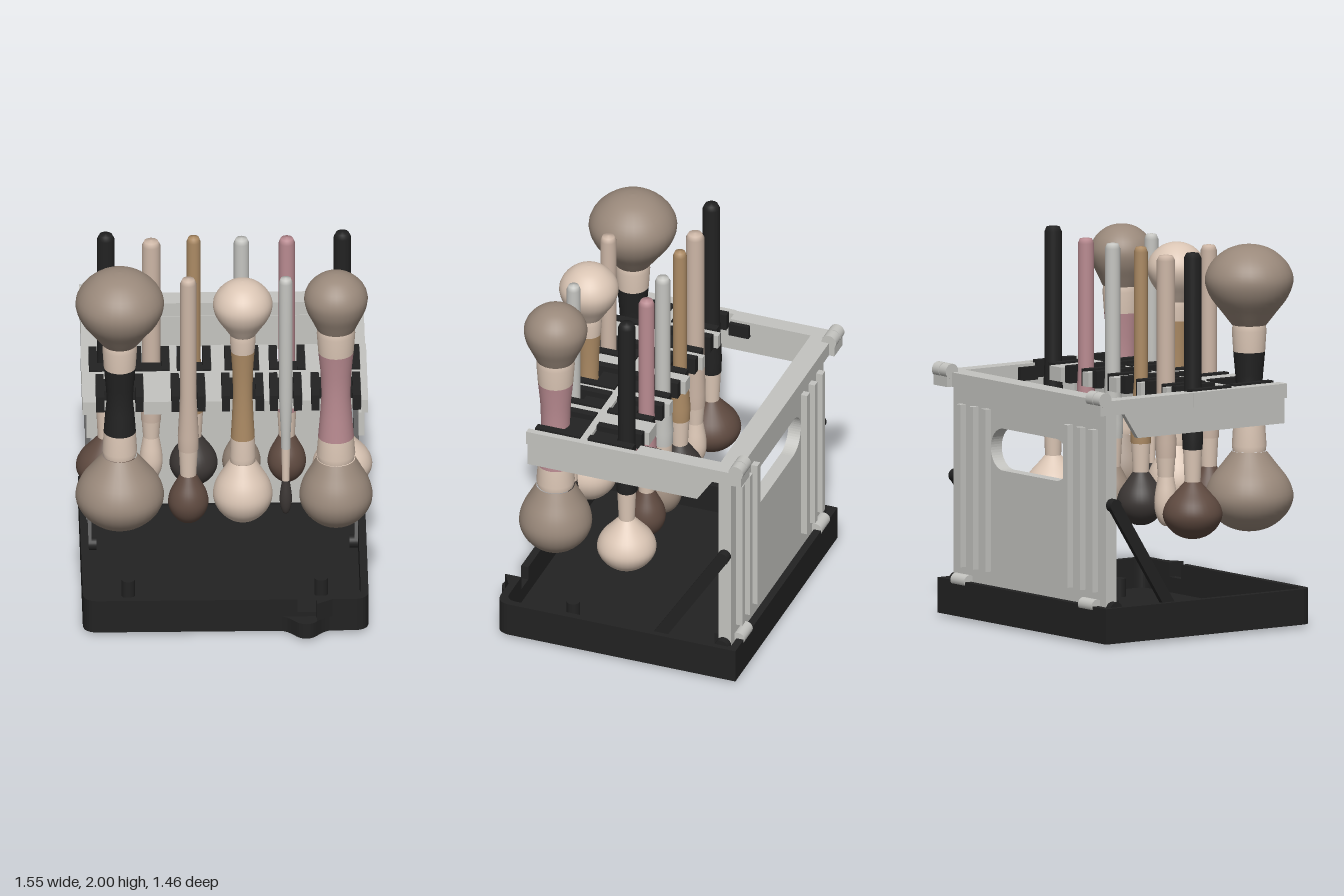
import * as THREE from 'three';

const mat = (name, color) => {
  const m = new THREE.MeshStandardMaterial({ color });
  m.name = name;
  return m;
};

export function createModel() {
  const model = new THREE.Group();
  model.name = 'brushStand';
  const black = mat('black', 0x222222), grey = mat('lightGrey', 0xc4c4c0);
  const taupe = mat('taupeBristle', 0x9a897b), cream = mat('cream', 0xdbc6b5);
  const brown = mat('brownBristle', 0x5f4a40), tan = mat('tan', 0xab8a64);
  const pink = mat('dustyPink', 0xb88a90), charcoal = mat('charcoalBristle', 0x3c3735);
  const beige = mat('beige', 0xcbb5a5);

  const add = (name, geo, material, x = 0, y = 0, z = 0, parent = model) => {
    const m = new THREE.Mesh(geo, material);
    m.name = name;
    m.position.set(x, y, z);
    parent.add(m);
    return m;
  };
  // Box given by its limits
  const box = (name, material, x0, x1, y0, y1, z0, z1, parent = model) =>
    add(name, new THREE.BoxGeometry(x1 - x0, y1 - y0, z1 - z0), material,
      (x0 + x1) / 2, (y0 + y1) / 2, (z0 + z1) / 2, parent);
  const rod = (name, material, r, len, x, y, z, axis = 'y', parent = model) => {
    const g = new THREE.CylinderGeometry(r, r, len, 24);
    if (axis === 'x') g.rotateZ(Math.PI / 2);
    return add(name, g, material, x, y, z, parent);
  };
  // Plan outline in (x, z), extruded between two heights
  const slab = (name, material, shape, y0, y1, parent = model) => {
    const g = new THREE.ExtrudeGeometry(shape, { depth: y1 - y0, bevelEnabled: false, curveSegments: 8 });
    g.rotateX(Math.PI / 2);
    return add(name, g, material, 0, y1, 0, parent);
  };
  const poly = pts => new THREE.Shape(pts.map(p => new THREE.Vector2(p[0], p[1])));

  // Tray: floor, wall with a gap for the latch, feet and posts
  const tray = new THREE.Group();
  tray.name = 'tray';
  model.add(tray);
  const floor = new THREE.Shape();
  floor.moveTo(-0.74, -0.69).lineTo(0.74, -0.69).lineTo(0.74, 0.56);
  floor.quadraticCurveTo(0.74, 0.64, 0.66, 0.64).lineTo(-0.66, 0.64);
  floor.quadraticCurveTo(-0.74, 0.64, -0.74, 0.56);
  slab('trayFloor', black, floor, 0.015, 0.045, tray);
  const wall = new THREE.Shape();
  wall.moveTo(0.47, 0.64).lineTo(0.66, 0.64).quadraticCurveTo(0.74, 0.64, 0.74, 0.56);
  wall.lineTo(0.74, -0.69).lineTo(-0.74, -0.69).lineTo(-0.74, 0.56);
  wall.quadraticCurveTo(-0.74, 0.64, -0.66, 0.64).lineTo(0.37, 0.64).lineTo(0.37, 0.6);
  wall.lineTo(-0.64, 0.6).quadraticCurveTo(-0.7, 0.6, -0.7, 0.54).lineTo(-0.7, -0.65);
  wall.lineTo(0.7, -0.65).lineTo(0.7, 0.54).quadraticCurveTo(0.7, 0.6, 0.64, 0.6).lineTo(0.47, 0.6);
  slab('trayWall', black, wall, 0.045, 0.2, tray);
  box('latchSill', black, 0.37, 0.47, 0.045, 0.125, 0.6, 0.64, tray);
  const bump = new THREE.Shape();
  bump.moveTo(0.26, 0.63).bezierCurveTo(0.36, 0.65, 0.35, 0.725, 0.415, 0.725);
  bump.bezierCurveTo(0.48, 0.725, 0.47, 0.65, 0.57, 0.63);
  slab('latchTab', black, bump, 0.015, 0.1, tray);
  slab('latchShoulder', black, poly([[0.47, 0.6], [0.56, 0.6], [0.56, 0.635], [0.47, 0.69]]), 0.1, 0.2, tray);
  for (const s of [-1, 1]) {
    for (const z of [-0.55, 0.5]) rod('foot', cream, 0.04, 0.02, s * 0.59, 0.01, z, 'y', tray);
    rod('trayPost', black, 0.035, 0.1, s * 0.5, 0.09, 0.3, 'y', tray);
  }

  // Back panel with a handle hole and ribs on its rear
  const panel = new THREE.Group();
  panel.name = 'backPanel';
  model.add(panel);
  const ps = poly([[-0.67, 0.1], [0.67, 0.1], [0.67, 1.21], [-0.67, 1.21]]);
  const hole = new THREE.Path();
  hole.moveTo(-0.23, 0.81).lineTo(0.23, 0.81).absarc(0.23, 0.92, 0.11, -Math.PI / 2, Math.PI / 2, false);
  hole.lineTo(-0.23, 1.03).absarc(-0.23, 0.92, 0.11, Math.PI / 2, Math.PI * 1.5, false);
  ps.holes.push(hole);
  add('panelSheet', new THREE.ExtrudeGeometry(ps, { depth: 0.07, bevelEnabled: false }), grey, 0, 0, -0.64, panel);
  for (const s of [-1, 1]) {
    for (const x of [0.36, 0.47, 0.58]) box('panelRib', grey, s * x - 0.02, s * x + 0.02, 0.27, 1.12, -0.675, -0.64, panel);
    rod('panelHinge', grey, 0.035, 0.12, s * 0.56, 0.2, -0.66, 'x', panel);
    rod('panelPivot', black, 0.04, 0.08, s * 0.67, 0.185, -0.6, 'x', panel);
    box('hingePad', black, s * 0.61 - 0.04, s * 0.61 + 0.04, 0.12, 0.225, -0.57, -0.54, panel);
  }

  // Folding struts
  for (const s of [-1, 1]) {
    const strut = new THREE.Group();
    strut.name = 'strut';
    const a = new THREE.Vector2(-0.19, 0.08), b = new THREE.Vector2(-0.605, 0.73);
    const bar = add('strutBar', new THREE.BoxGeometry(0.028, a.distanceTo(b), 0.065), black,
      s * 0.695, (a.y + b.y) / 2, (a.x + b.x) / 2, strut);
    bar.rotation.x = Math.atan2(b.x - a.x, b.y - a.y);
    for (const p of [a, b]) rod('strutPivot', black, 0.034, 0.06, s * 0.685, p.y, p.x, 'x', strut);
    model.add(strut);
  }

  // Top frame: arms, skirts, back bar and hinge knuckles
  const frame = new THREE.Group();
  frame.name = 'topFrame';
  model.add(frame);
  box('backBar', grey, -0.65, 0.65, 1.21, 1.285, -0.69, -0.575, frame);
  const skirt = poly([[-0.47, 1.075], [0.47, 1.075], [0.56, 1.21], [-0.47, 1.21]]);
  for (const s of [-1, 1]) {
    box('sideArm', grey, s * 0.6925 - 0.0425, s * 0.6925 + 0.0425, 1.21, 1.285, -0.69, -0.13, frame);
    const g = new THREE.ExtrudeGeometry(skirt, { depth: 0.03, bevelEnabled: false });
    g.rotateY(Math.PI / 2);
    add('sideSkirt', g, grey, s * 0.705 - 0.015, 0, 0, frame);
    for (const x of [0.643, 0.706]) rod('hingeKnuckle', grey, 0.04, 0.059, s * x, 1.29, -0.69, 'x', frame);
    box('knuckleBase', grey, s * 0.675 - 0.06, s * 0.675 + 0.06, 1.21, 1.29, -0.72, -0.66, frame);
    box('armCatch', black, s * 0.64 - 0.015, s * 0.64 + 0.015, 1.2, 1.27, -0.24, -0.13, frame);
  }
  box('middleSkirt', grey, -0.7, 0.7, 1.075, 1.21, 0.15, 0.18, frame);

  // Holder plate, notched for each clip: [x, width]
  const backClips = [[-0.605, 0.19], [-0.375, 0.19], [-0.155, 0.18], [0.093, 0.18], [0.328, 0.19], [0.616, 0.18]];
  const frontClips = [[-0.545, 0.25], [-0.19, 0.18], [0.092, 0.22], [0.315, 0.17], [0.575, 0.26]];
  const outline = [[-0.74, -0.13]];
  for (const [x, w] of backClips)
    outline.push([x - w / 2, -0.13], [x - w / 2, 0.145], [x + w / 2, 0.145], [x + w / 2, -0.13]);
  outline.push([0.74, -0.13], [0.74, 0.47]);
  for (const [x, w] of [...frontClips].reverse())
    outline.push([x + w / 2, 0.47], [x + w / 2, 0.185], [x - w / 2, 0.185], [x - w / 2, 0.47]);
  outline.push([-0.74, 0.47]);
  slab('holderPlate', grey, poly(outline), 1.21, 1.285, frame);

  // Clip: two jaws and a lower base, open toward dir
  const clip = (x, w, zIn, dir) => {
    const c = new THREE.Group();
    c.name = 'clip';
    const span = (a, b) => [zIn + dir * a, zIn + dir * b].sort((p, q) => p - q);
    for (const s of [-1, 1]) {
      const jx = x + s * (w / 2 - 0.023);
      box('jaw', black, jx - 0.021, jx + 0.021, 1.205, 1.295, ...span(0, 0.25), c);
    }
    box('clipBase', black, x - w / 2 + 0.03, x + w / 2 - 0.03, 1.21, 1.265, ...span(0, 0.13), c);
    frame.add(c);
  };
  for (const [x, w] of backClips) clip(x, w, 0.145, -1);
  for (const [x, w] of frontClips) clip(x, w, 0.185, 1);

  // Turned parts from [radius, height] points, listed bottom to top
  const turned = (name, pts, material, parent) => add(name,
    new THREE.LatheGeometry(pts.map(p => new THREE.Vector2(p[0], p[1])), 32), material, 0, 0, 0, parent);
  // Bristle head bulging from the neck height to the tip height
  const head = (neck, tip, r, rNeck, material, parent) => {
    const key = [[0, rNeck], [0.15, rNeck + (r - rNeck) * 0.35], [0.36, rNeck + (r - rNeck) * 0.82], [0.57, r],
      [0.76, r * 0.87], [0.91, r * 0.58], [0.98, r * 0.28], [1, 0]];
    const curve = new THREE.SplineCurve(key.map(([t, q]) => new THREE.Vector2(q, neck + (tip - neck) * t)));
    const pts = curve.getPoints(28).map(p => [Math.max(p.x, 0), p.y]);
    turned('bristleHead', tip < neck ? pts.reverse() : pts, material, parent);
  };
  const brush = (name, x, z) => {
    const g = new THREE.Group();
    g.name = name;
    g.position.set(x, 0, z);
    model.add(g);
    return g;
  };

  // Double-ended brushes: [x, tip, neck, ferrule, ferrule, neck, tip (bottom up), radii, handle, bristle]
  const doubles = [
    [-0.545, 0.5, 0.92, 1.06, 1.44, 1.58, 2.0, 0.23, 0.23, 0.09, black, taupe],
    [0.092, 0.53, 0.88, 1.02, 1.53, 1.63, 1.94, 0.155, 0.155, 0.067, tan, cream],
    [0.575, 0.5, 0.89, 1.02, 1.52, 1.66, 1.98, 0.19, 0.165, 0.1, pink, taupe]];
  for (const [x, t0, n0, f0, f1, n1, t1, r0, r1, rn, handle, bristle] of doubles) {
    const g = brush('doubleBrush', x, 0.37);
    head(n0, t0, r0, rn, bristle, g);
    head(n1, t1, r1, rn, bristle, g);
    turned('lowerFerrule', [[rn * 0.95, n0], [rn, n0 + 0.03], [rn * 0.92, f0]], cream, g);
    turned('handle', [[rn * 0.93, f0], [rn * 0.83, f0 + 0.12], [rn * 0.75, (f0 + f1) / 2],
      [rn * 0.8, f1 - 0.12], [rn * 0.92, f1]], handle, g);
    turned('upperFerrule', [[rn * 0.92, f1], [rn, n1 - 0.03], [rn * 0.95, n1]], cream, g);
  }

  // Single brushes: [x, z, top, handle radius, handle end, neck, tip, head radius, handle, bristle]
  const singles = [
    [-0.61, -0.04, 2.0, 0.045, 0.97, 0.8, 0.5, 0.155, black, brown],
    [-0.375, -0.04, 1.96, 0.048, 0.9, 0.8, 0.54, 0.06, beige, cream],
    [-0.155, -0.04, 1.98, 0.036, 0.95, 0.8, 0.52, 0.125, tan, charcoal],
    [0.093, -0.04, 1.97, 0.04, 0.95, 0.8, 0.53, 0.1, grey, taupe],
    [0.328, -0.04, 1.97, 0.042, 0.95, 0.8, 0.53, 0.1, pink, brown],
    [0.616, -0.04, 2.0, 0.045, 0.97, 0.8, 0.5, 0.155, black, cream],
    [-0.19, 0.37, 1.96, 0.042, 0.95, 0.8, 0.52, 0.105, beige, brown],
    [0.315, 0.37, 1.96, 0.036, 0.95, 0.76, 0.56, 0.032, grey, charcoal]];
  for (const [x, z, top, r, end, neck, tip, rHead, handle, bristle] of singles) {
    const g = brush('brush', x, z);
    const rf = rHead < 0.05 ? 0.024 : 0.052;
    turned('handle', [[rf, end], [rf * 1.05, end + 0.08], [r, end + 0.32], [r, top - 0.03],
      [r * 0.75, top - 0.006], [0, top]], handle, g);
    turned('ferrule', [[rf * 0.8, neck], [rf * 0.95, end]], cream, g);
    head(neck, tip, rHead, rf * 0.8, bristle, g);
  }
  return model;
}
